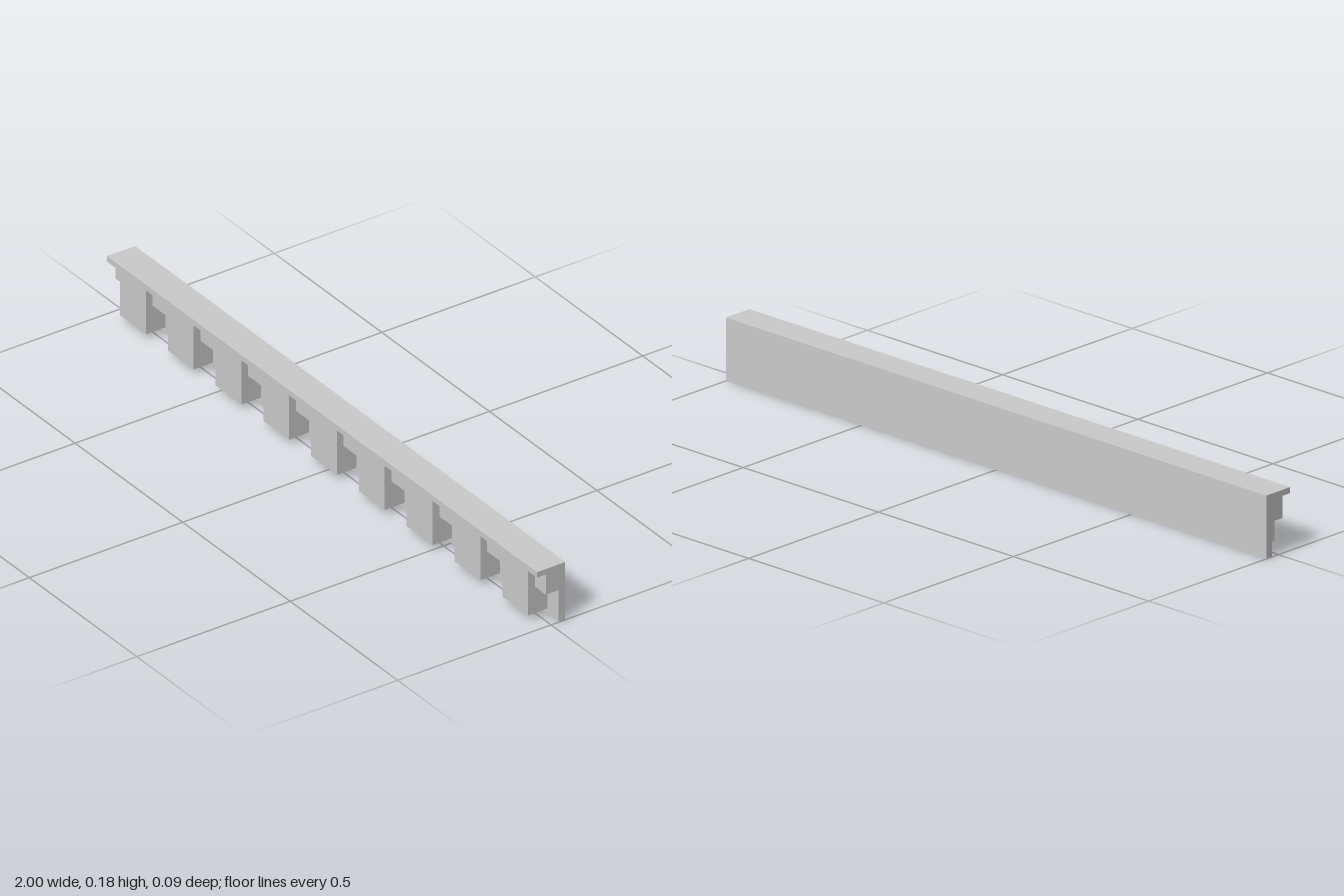
import * as THREE from 'three';

export function createModel() {
  const group = new THREE.Group();
  const material = new THREE.MeshStandardMaterial({ color: 0xcccccc, flatShading: true });
  const length = 2, back = -0.046, board = -0.025, step = 0.017, tooth = 0.039, lip = 0.046;
  const height = 0.18, lipBottom = 0.163, stepBottom = 0.1, toothBottom = 0.018;

  // Stepped moulding: profile drawn as (z, y), extruded along the length
  const profile = new THREE.Shape([
    [back, 0], [board, 0], [board, stepBottom], [step, stepBottom],
    [step, lipBottom], [lip, lipBottom], [lip, height], [back, height],
  ].map(([z, y]) => new THREE.Vector2(z, y)));
  const railGeometry = new THREE.ExtrudeGeometry(profile, { depth: length, bevelEnabled: false });
  railGeometry.translate(0, 0, -length / 2).rotateY(-Math.PI / 2);
  const rail = new THREE.Mesh(railGeometry, material);
  rail.name = 'moulding';
  group.add(rail);

  // Row of evenly spaced dentil blocks under the lip
  const count = 9, pitch = length / count;
  const dentilGeometry = new THREE.BoxGeometry(0.12, lipBottom - toothBottom, tooth - board);
  const dentils = new THREE.Group();
  dentils.name = 'dentils';
  for (let i = 0; i < count; i++) {
    const dentil = new THREE.Mesh(dentilGeometry, material);
    dentil.name = `dentil${i + 1}`;
    dentil.position.set((i - (count - 1) / 2) * pitch, (lipBottom + toothBottom) / 2, (tooth + board) / 2);
    dentils.add(dentil);
  }
  group.add(dentils);
  return group;
}
